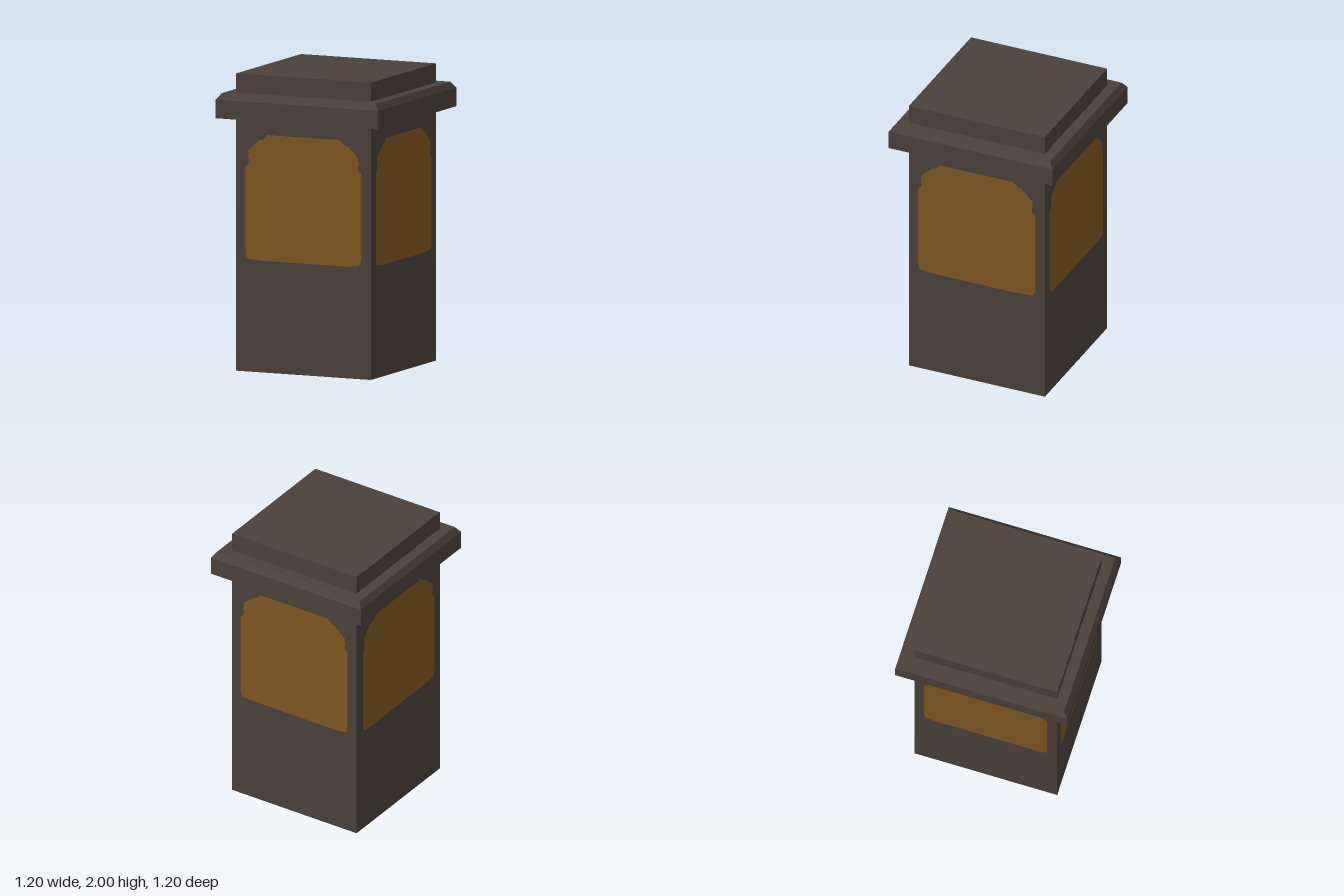
import * as THREE from 'three';

const stone = new THREE.MeshStandardMaterial({ color: 0x4b413b });
stone.name = 'dark stone';
const amber = new THREE.MeshStandardMaterial({ color: 0x805822 });
amber.name = 'amber panel';

// Square block from a profile of [half width, y] points, bottom to top, with hard edges
function squareLathe(profile) {
  const points = profile.map(([half, y]) => new THREE.Vector2(half * Math.SQRT2, y));
  const geometry = new THREE.LatheGeometry(points, 4, Math.PI / 4).toNonIndexed();
  geometry.computeVertexNormals();
  return geometry;
}

// Mirrored outline of the arched panel, given its +x half from bottom to top
function panelShape() {
  const half = [
    [0.3, 0.752], [0.405, 0.757], [0.42, 0.772], [0.428, 0.81], [0.428, 1.38],
    [0.408, 1.4], [0.401, 1.42], [0.411, 1.445], [0.405, 1.465], [0.409, 1.485],
    [0.36, 1.53], [0.325, 1.563], [0.3, 1.568], [0.267, 1.6],
  ];
  const mirrored = half.map(([x, y]) => [-x, y]).reverse();
  return new THREE.Shape([...half, ...mirrored].map(([x, y]) => new THREE.Vector2(x, y)));
}

export function createModel() {
  const model = new THREE.Group();
  model.name = 'pillar';
  const add = (name, geometry, material) => {
    const mesh = new THREE.Mesh(geometry, material);
    mesh.name = name;
    model.add(mesh);
    return mesh;
  };

  // Square shaft and the raised cap on top
  add('shaft', new THREE.BoxGeometry(0.996, 1.7, 0.996).translate(0, 0.85, 0), stone);
  add('cap', new THREE.BoxGeometry(0.996, 0.13, 0.996).translate(0, 1.935, 0), stone);

  // Overhanging cornice with a chamfered upper edge
  add('cornice', squareLathe([[0, 1.705], [0.6, 1.705], [0.6, 1.83], [0.57, 1.872], [0, 1.872]]), stone);

  // One arched panel on each side
  const panel = new THREE.ShapeGeometry(panelShape()).translate(0, 0, 0.501);
  ['front', 'left', 'back', 'right'].forEach((side, i) => {
    add(`${side}Panel`, panel, amber).rotation.y = i * Math.PI / 2;
  });

  return model;
}
